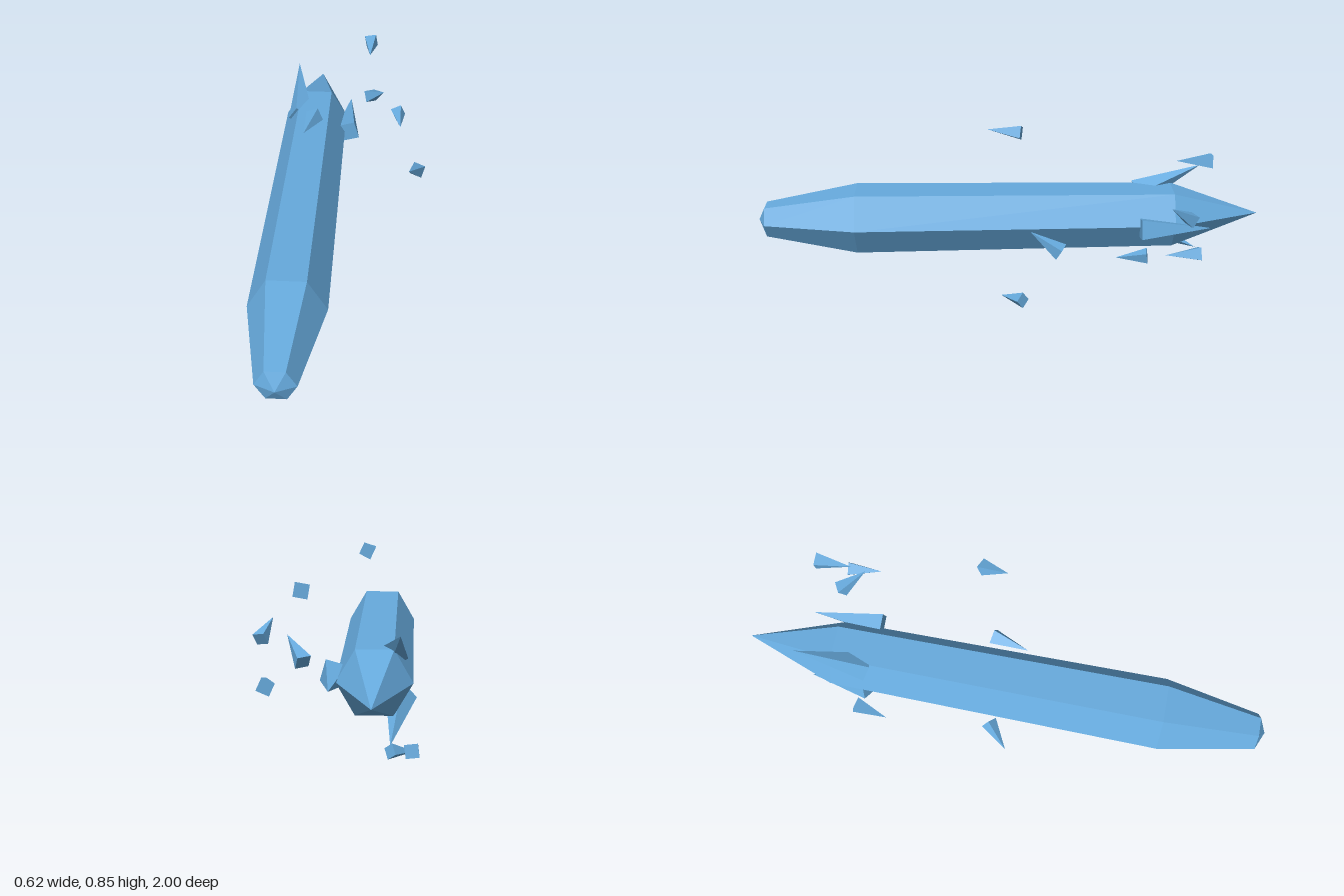
import * as THREE from 'three';

export function createModel() {
  const model = new THREE.Group();
  const iceBlue = new THREE.MeshStandardMaterial({ color: 0x66aadd, flatShading: true });
  iceBlue.name = 'iceBlue';

  const add = (name, geometry) => {
    const mesh = new THREE.Mesh(geometry, iceBlue);
    mesh.name = name;
    model.add(mesh);
    return mesh;
  };

  // Long six-sided crystal: [radius, z] profile, turned to lie along z
  const profile = [[0, -1], [0.128, -0.65], [0.14, 0.61], [0.07, 0.97], [0, 1]]
    .map(([r, z]) => new THREE.Vector2(r, z));
  const body = add('crystalBody',
    new THREE.LatheGeometry(profile, 6, Math.PI / 2).rotateX(Math.PI / 2));
  body.position.set(-0.16, 0.45, 0);

  // Square pyramid from a base centre to an apex; corner is the way to one base corner
  const spike = (name, radius, base, apex, corner) => {
    const b = new THREE.Vector3(...base);
    const axis = new THREE.Vector3(...apex).sub(b);
    const length = axis.length();
    axis.normalize();
    const z = new THREE.Vector3(...corner);
    z.addScaledVector(axis, -z.dot(axis)).normalize();
    const x = new THREE.Vector3().crossVectors(axis, z);
    const geometry = new THREE.ConeGeometry(radius, length, 4).translate(0, length / 2, 0);
    geometry.applyMatrix4(new THREE.Matrix4().makeBasis(x, axis, z).setPosition(b));
    add(name, geometry);
  };

  // Three spikes growing round the tail
  [
    [[-0.017, 0.45, -0.51], [-0.017, 0.45, -0.785], [0.027, 0.048, 0]],
    [[-0.219, 0.52, -0.517], [-0.244, 0.628, -0.773], [-0.28, 0.89, 0.36]],
    [[-0.248, 0.379, -0.518], [-0.215, 0.273, -0.772], [-1, -0.1, 0]],
  ].forEach((s, i) => spike(`tailSpike${i + 1}`, 0.054, ...s));

  // Loose shards floating about the body
  [
    [[-0.114, 0.818, -0.043], [-0.144, 0.823, 0.087], [0.0115, 0.0315, 0]],
    [[0.069, 0.765, -0.744], [0.069, 0.766, -0.612], [-0.027, 0.019, 0]],
    [[0.07, 0.524, -0.69], [0.131, 0.598, -0.597], [-0.026, 0.023, 0]],
    [[0.28, 0.499, -0.173], [0.244, 0.565, -0.063], [0.029, 0.0175, 0]],
    [[0.193, 0.442, -0.7], [0.206, 0.444, -0.569], [0.0125, 0.033, 0]],
    [[-0.286, 0.2, -0.588], [-0.31, 0.182, -0.457], [-0.0205, 0.028, 0]],
    [[-0.207, 0.036, -0.057], [-0.304, 0.012, 0.032], [-0.008, 0.033, 0]],
  ].forEach((s, i) => spike(`shard${i + 1}`, 0.034, ...s));

  return model;
}
